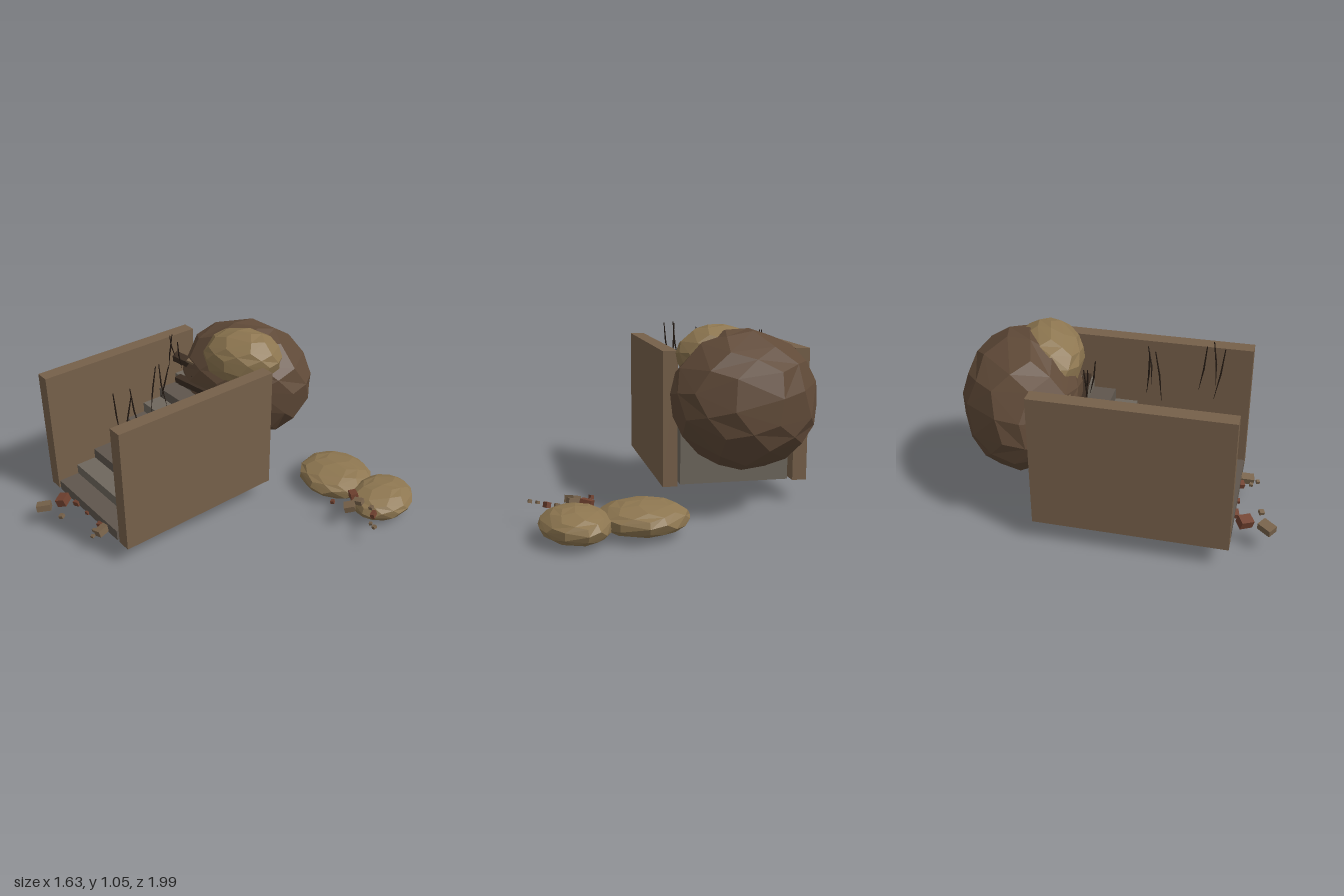
import * as THREE from 'three';

const mat = (color) => new THREE.MeshStandardMaterial({ color, flatShading: true, roughness: 0.95 });
const MAT = {
  wall: mat(0x76604a), stepLight: mat(0x6e675d), stepDark: mat(0x5f564d),
  boulder: mat(0x604a38), sandstone: mat(0x8d7650), brick: mat(0x70412f),
  stone: mat(0x77624a), wood: mat(0x3b2d22), root: mat(0x241a13),
};

export function createModel() {
  const model = new THREE.Group();
  model.name = 'collapsedStairway';

  function add(parent, name, geometry, material, pos, rot = [0, 0, 0], scale = [1, 1, 1]) {
    const mesh = new THREE.Mesh(geometry, material);
    mesh.name = name;
    mesh.position.set(...pos);
    mesh.rotation.set(...rot);
    mesh.scale.set(...scale);
    parent.add(mesh);
    return mesh;
  }
  function group(name) {
    const g = new THREE.Group();
    g.name = name;
    model.add(g);
    return g;
  }
  const box = new THREE.BoxGeometry(1, 1, 1);

  // Side walls
  const walls = group('sideWalls');
  for (const [name, x] of [['rightWall', -0.772], ['leftWall', 0.002]])
    add(walls, name, box, MAT.wall, [x, 0.518, 0.2225], [0, 0, 0], [0.085, 0.776, 1.075]);

  // Steps: every block reaches down to the base
  const stairs = group('stairs');
  const rise = 0.0645, run = 0.13;
  for (let i = 0; i < 8; i++) {
    const h = rise * (i + 1);
    add(stairs, 'step', box, i % 2 ? MAT.stepLight : MAT.stepDark,
      [-0.387, 0.13 + h / 2, 0.76 - run * (i + 0.5)], [0, 0, 0], [0.645, h, run]);
  }

  // Boulders blocking the top, and two flat ones lying behind
  const rock = new THREE.DodecahedronGeometry(1, 1);
  const boulders = group('boulders');
  add(boulders, 'largeBoulder', rock, MAT.boulder, [-0.383, 0.652, -0.475], [0.15, 0.35, 0.1], [0.44, 0.39, 0.338]);
  add(boulders, 'upperBoulder', rock, MAT.sandstone, [-0.275, 0.875, -0.35], [0.1, 0.3, 0.1], [0.265, 0.18, 0.2]);
  add(boulders, 'flatBoulder', rock, MAT.sandstone, [0.235, 0.099, -0.725], [0, 0, 0], [0.25, 0.09, 0.225]);
  add(boulders, 'flatBoulder', rock, MAT.sandstone, [0.588, 0.097, -0.775], [0, 0.2, 0], [0.187, 0.093, 0.225]);

  // Broken timbers on the top step
  const timbers = group('brokenTimbers');
  for (const [pos, rot, size] of [
    [[-0.36, 0.65, -0.155], [0.1, 0.12, 0], [0.57, 0.04, 0.05]],
    [[-0.5, 0.64, -0.15], [0.2, 0.1, 0.04], [0.28, 0.045, 0.05]],
    [[-0.62, 0.75, -0.19], [0.3, 0.25, -0.2], [0.21, 0.05, 0.05]],
    [[-0.48, 0.71, -0.18], [0.3, 0.4, 0.25], [0.1, 0.045, 0.05]],
  ]) add(timbers, 'timber', box, MAT.wood, pos, rot, size);
  add(timbers, 'stoneChip', box, MAT.stone, [-0.55, 0.785, -0.17], [0.2, 0.2, -0.1], [0.07, 0.018, 0.03]);

  // Hanging roots: [top x, top z, lower x, lower z, lower y]
  const roots = group('hangingRoots');
  for (const [x, z, lx, lz, ly] of [
    [-0.605, -0.06, -0.625, -0.04, 0.75], [-0.6, -0.04, -0.57, -0.06, 0.84], [-0.5, -0.025, -0.505, -0.055, 0.8],
    [-0.335, 0.23, -0.3, 0.21, 0.72], [-0.325, 0.26, -0.335, 0.3, 0.7], [-0.27, 0.21, -0.31, 0.24, 0.78],
    [-0.2, 0.52, -0.175, 0.48, 0.7], [-0.14, 0.55, -0.19, 0.575, 0.74], [-0.215, 0.62, -0.25, 0.575, 0.7],
  ]) {
    const a = new THREE.Vector3(x, 0.99, z), b = new THREE.Vector3(lx, ly, lz);
    const mid = a.clone().lerp(b, 0.5).add(new THREE.Vector3((lx - x) * -0.2, 0, 0.006));
    for (const [p, q, r0, r1] of [[a, mid, 0.003, 0.005], [mid, b, 0.005, 0.001]]) {
      const dir = q.clone().sub(p);
      const root = add(roots, 'root', new THREE.CylinderGeometry(r1, r0, dir.length(), 5), MAT.root,
        p.clone().lerp(q, 0.5).toArray());
      root.quaternion.setFromUnitVectors(new THREE.Vector3(0, 1, 0), dir.normalize());
    }
  }

  // Scattered rubble: [x, y, z, width, height, depth, turn, material]
  const rubble = group('rubble');
  for (const [x, y, z, w, h, d, turn, m] of [
    [-0.6, 0.145, 0.94, 0.06, 0.04, 0.085, -0.6, MAT.stone],
    [-0.58, 0.15, 0.82, 0.06, 0.05, 0.075, 0.6, MAT.brick],
    [-0.51, 0.14, 0.76, 0.045, 0.03, 0.035, 0.3, MAT.brick],
    [-0.46, 0.135, 0.9, 0.028, 0.02, 0.028, 0.5, MAT.stone],
    [-0.39, 0.137, 0.76, 0.025, 0.02, 0.025, 0.2, MAT.brick],
    [-0.18, 0.148, 0.79, 0.05, 0.04, 0.08, 0.2, MAT.stone],
    [-0.235, 0.142, 0.765, 0.04, 0.03, 0.03, 0.4, MAT.brick],
    [-0.22, 0.137, 0.82, 0.018, 0.018, 0.02, 0.1, MAT.stone],
    [-0.18, 0.135, 0.855, 0.02, 0.015, 0.02, 0.4, MAT.stone],
    [0.51, 0.15, -0.6, 0.065, 0.04, 0.045, -0.5, MAT.brick],
    [0.575, 0.145, -0.5, 0.065, 0.04, 0.06, 0.8, MAT.stone],
    [0.58, 0.155, -0.57, 0.06, 0.03, 0.04, 0.3, MAT.stone],
    [0.47, 0.14, -0.46, 0.022, 0.02, 0.022, 0.5, MAT.brick],
    [0.715, 0.14, -0.56, 0.025, 0.03, 0.045, 0.4, MAT.brick],
    [0.665, 0.145, -0.595, 0.025, 0.02, 0.025, 0.2, MAT.stone],
    [0.76, 0.135, -0.488, 0.018, 0.016, 0.018, 0.6, MAT.stone],
    [0.8, 0.14, -0.475, 0.02, 0.018, 0.024, 0.1, MAT.stone],
  ]) add(rubble, m === MAT.brick ? 'brickPiece' : 'stonePiece', box, m, [x, y, z], [0.15, turn, 0.2], [w, h, d]);

  return model;
}
